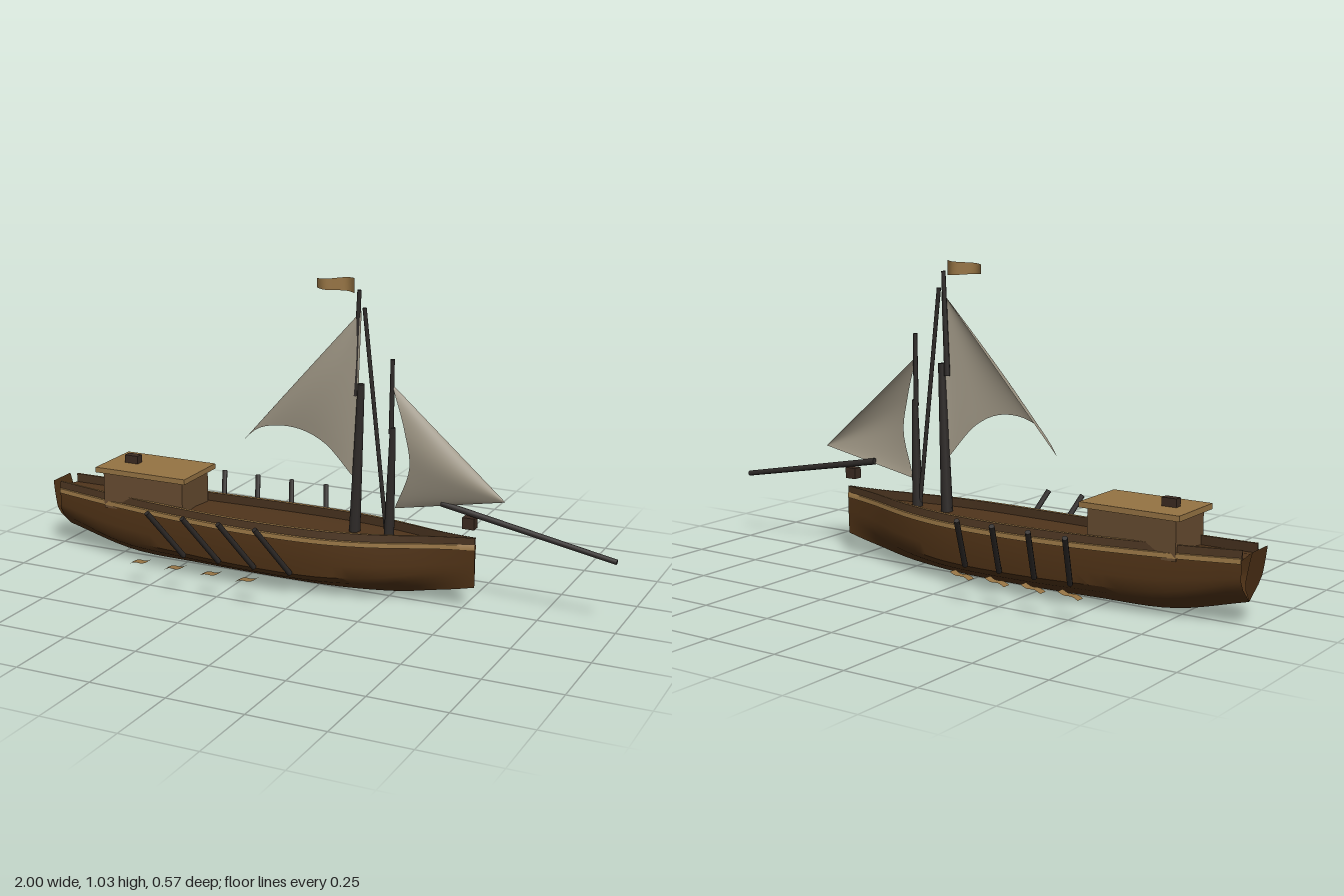
import * as THREE from 'three';
import { toCreasedNormals } from 'three/addons/utils/BufferGeometryUtils.js';

const mat = (color) => new THREE.MeshStandardMaterial({ color, side: THREE.DoubleSide });
const HULL = mat(0x4f3216), DECK = mat(0x50351c), RIM = mat(0x4a3420), GOLD = mat(0x957343);
const WALL = mat(0x664b30), SPAR = mat(0x2e2a28), SAIL = mat(0x98907f), BLOCK = mat(0x3a2a20);

// Hull stations: x, half width, keel height
const stations = new THREE.CatmullRomCurve3([
  [-0.97, 0.058, 0.08], [-0.72, 0.09, 0.02], [-0.45, 0.116, 0.01], [-0.2, 0.13, 0.006],
  [0.05, 0.124, 0.008], [0.2, 0.098, 0.018], [0.3, 0.068, 0.03], [0.4, 0.034, 0.05],
  [0.48, 0.014, 0.066], [0.54, 0.003, 0.08],
].map((p) => new THREE.Vector3(...p)));
const sheer = (x) => 0.23 + 0.016 * ((x + 0.2) / 0.75) ** 2;

// Grid surface from a function of (u, v) in 0..1
function surface(fn, nu, nv) {
  const pos = [], idx = [];
  for (let i = 0; i <= nu; i++) {
    for (let j = 0; j <= nv; j++) {
      pos.push(...fn(i / nu, j / nv));
      if (i < nu && j < nv) {
        const a = i * (nv + 1) + j, b = a + nv + 1;
        idx.push(a, b, a + 1, b, b + 1, a + 1);
      }
    }
  }
  const g = new THREE.BufferGeometry();
  g.setAttribute('position', new THREE.Float32BufferAttribute(pos, 3));
  g.setIndex(idx);
  g.computeVertexNormals();
  return g;
}

// Sweeps a cross-section of [z, y] points along the hull stations
function loft(section) {
  const n = section(0.1, 0, 0.2).length - 1;
  return toCreasedNormals(surface((u, v) => {
    const p = stations.getPoint(u);
    const [z, y] = section(p.y, p.z, sheer(p.x))[Math.round(v * n)];
    return [p.x, y, z];
  }, 48, n), 0.7);
}

// Half section of the planking from keel to upper edge
const halfSection = (w, k, s) => [
  [0, k], [w * 0.35, k + 0.022], [w * 0.74, k + 0.045], [w * 0.97, k + 0.07],
  [w, k + (s - k) * 0.5], [w * 0.98, s - 0.045], [w * 0.95, s - 0.025],
];

export function createModel() {
  const root = new THREE.Group();
  const add = (name, geometry, material, parent = root) => {
    const m = new THREE.Mesh(geometry, material);
    m.name = name;
    parent.add(m);
    return m;
  };
  const box = (name, material, x0, x1, y0, y1, halfZ) =>
    add(name, new THREE.BoxGeometry(x1 - x0, y1 - y0, halfZ * 2), material)
      .position.set((x0 + x1) / 2, (y0 + y1) / 2, 0);
  const spar = (name, from, to, r0, r1, parent = root) => {
    const a = new THREE.Vector3(...from), d = new THREE.Vector3(...to).sub(a);
    const m = add(name, new THREE.CylinderGeometry(r1, r0, d.length(), 8), SPAR, parent);
    m.position.copy(a).addScaledVector(d, 0.5);
    m.quaternion.setFromUnitVectors(new THREE.Vector3(0, 1, 0), d.normalize());
  };

  // Planking, deck, and on each side the bulwark and gilded strake
  add('hull', loft((w, k, s) => {
    const half = halfSection(w, k, s);
    return [...half.slice(1).reverse().map(([z, y]) => [-z, y]), ...half];
  }), HULL);
  add('deck', loft((w, k, s) => [[-w * 0.9, s - 0.03], [0, s - 0.022], [w * 0.9, s - 0.03]]), DECK);
  for (const side of [1, -1]) {
    add('bulwark', loft((w, k, s) => [
      [w * 0.97, s - 0.03], [w * 0.92, s], [w * 0.85, s], [w * 0.87, s - 0.03],
    ].map(([z, y]) => [z * side, y])), RIM);
    add('strake', loft((w, k, s) => [
      [w * 0.96, s - 0.04], [w + 0.004, s - 0.04], [w + 0.002, s - 0.025], [w * 0.9, s - 0.022],
    ].map(([z, y]) => [z * side, y])), GOLD);
    // Gilded cap along the bulwark
    add('railCap', loft((w, k, s) => [[w * 0.93 * side, s + 0.001], [w * 0.84 * side, s + 0.001]]), GOLD);
  }

  // Raked transom
  const half = halfSection(0.058, 0.08, sheer(-0.97));
  const outline = [...half, [0.052, 0.245]];
  const transom = new THREE.ShapeGeometry(new THREE.Shape(
    [...outline, ...outline.slice(1).reverse().map(([z, y]) => [-z, y])]
      .map(([z, y]) => new THREE.Vector2(z, y))));
  transom.rotateY(-Math.PI / 2);
  const tp = transom.attributes.position;
  for (let i = 0; i < tp.count; i++) tp.setX(i, -0.97 - 0.03 * (tp.getY(i) - 0.08) / 0.165);
  transom.computeVertexNormals();
  add('transom', transom, HULL);

  // Cabin
  box('cabin', WALL, -0.77, -0.465, 0.19, 0.318, 0.088);
  box('cabinRoof', GOLD, -0.79, -0.445, 0.317, 0.335, 0.106);
  box('chimney', BLOCK, -0.73, -0.68, 0.335, 0.362, 0.014);

  // Masts, yard, bowsprit
  spar('mainMastLower', [0.125, 0.2, 0], [0.145, 0.7, 0], 0.02, 0.012);
  spar('mainMastUpper', [0.123, 0.66, 0], [0.137, 1, 0], 0.01, 0.007);
  spar('foreMastLower', [0.246, 0.2, 0], [0.255, 0.57, 0], 0.018, 0.01);
  spar('foreMastUpper', [0.25, 0.55, 0], [0.252, 0.79, 0], 0.009, 0.007);
  spar('yard', [0.235, 0.23, 0], [0.155, 0.945, 0], 0.007, 0.007);
  spar('bowsprit', [0.425, 0.343, 0], [0.995, 0.235, 0], 0.011, 0.009);
  box('bowBlock', BLOCK, 0.5, 0.54, 0.275, 0.312, 0.016);

  // Sails fan out from one corner to a curved edge, with a belly towards +z
  const sail = (name, corner, edge, belly) => {
    const curve = new THREE.SplineCurve(edge.map((p) => new THREE.Vector2(...p)));
    add(name, surface((u, v) => {
      const p = curve.getPoint(u);
      return [
        THREE.MathUtils.lerp(corner[0], p.x, v), THREE.MathUtils.lerp(corner[1], p.y, v),
        belly * Math.sin(Math.PI * u) * Math.sin(v * Math.PI * 0.6),
      ];
    }, 20, 14), SAIL);
  };
  sail('mainSail', [0.145, 0.935],
    [[-0.3, 0.44], [-0.2, 0.525], [-0.07, 0.545], [0.035, 0.5], [0.125, 0.385]], 0.05);
  sail('jib', [0.635, 0.375], [[0.252, 0.71], [0.305, 0.58], [0.325, 0.45], [0.265, 0.305]], 0.036);

  // Waving pennant
  add('pennant', surface((u, v) => [
    -0.01 + 0.13 * u, 1.012 + (v - 0.5) * (0.03 + 0.018 * u), 0.018 * Math.sin(u * Math.PI * 2),
  ], 16, 1), GOLD);

  // Oars and blades, four to a side
  for (const side of [1, -1]) {
    for (let i = 0; i < 4; i++) {
      const oar = new THREE.Group();
      oar.name = 'oar';
      oar.position.x = i * 0.131;
      root.add(oar);
      spar('oarShaft', [-0.435, 0.08, 0.135 * side], [-0.495, 0.26, 0.265 * side], 0.009, 0.009, oar);
      add('oarBlade', surface((u, v) => [
        -0.555 + 0.07 * u, 0.083 + 0.018 * u + 0.004 * Math.sin(u * Math.PI * 2),
        side * (0.257 + 0.03 * v),
      ], 8, 1), GOLD, oar);
    }
  }
  return root;
}
